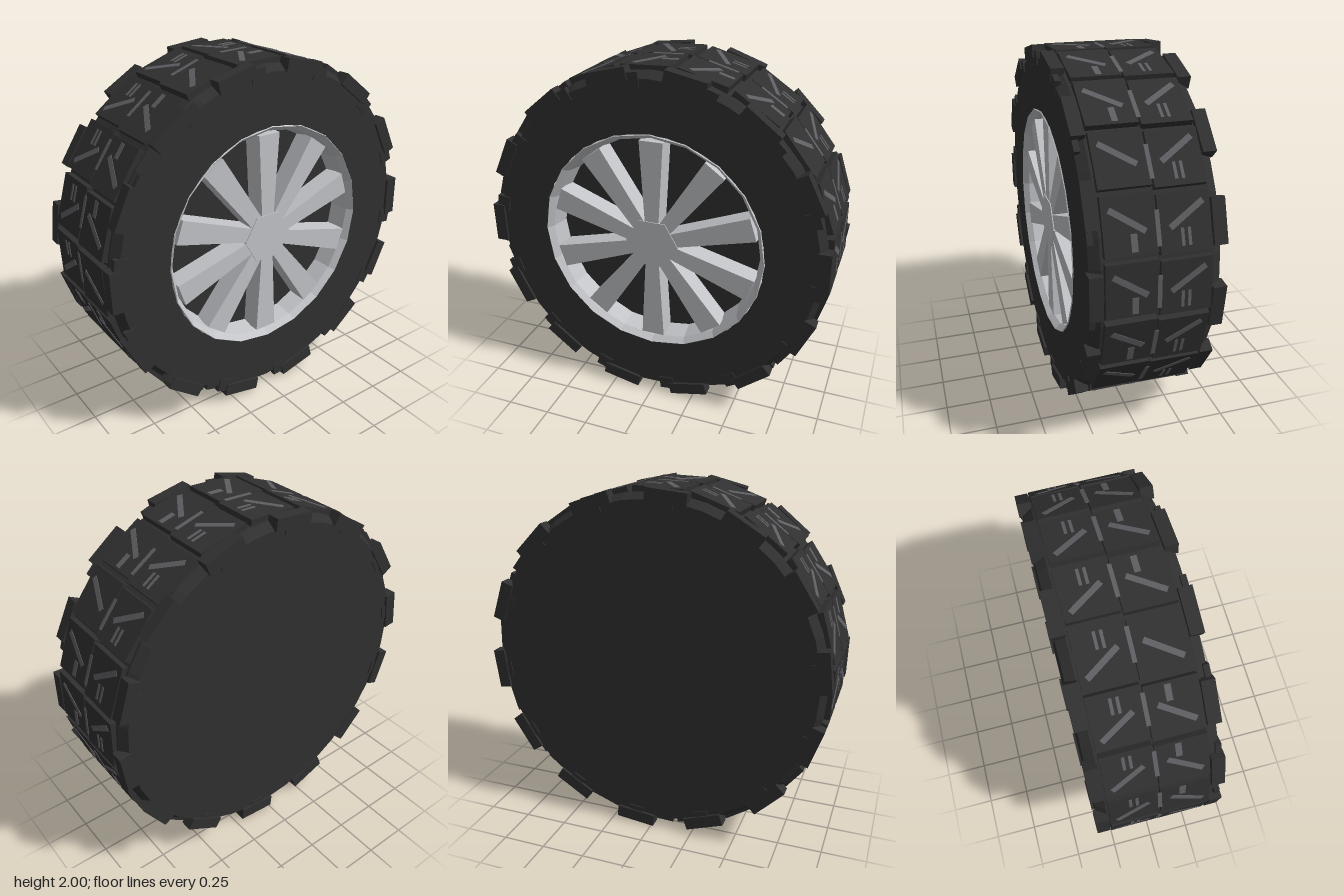
import * as THREE from 'three';

export function createModel() {
  const mat = (name, color, side = THREE.FrontSide) => {
    const m = new THREE.MeshStandardMaterial({ color, side, flatShading: true });
    m.name = name;
    return m;
  };
  const rubber = mat('rubber', 0x303030);
  const alloy = mat('alloy', 0xc2c4c8);
  const sipe = mat('sipe grey', 0x5e5e62);

  const model = new THREE.Group();
  model.name = 'wheel';
  const wheel = new THREE.Group();
  wheel.name = 'wheelAssembly';
  wheel.position.y = 1;
  model.add(wheel);

  const add = (name, geometry, material, parent = wheel) => {
    const mesh = new THREE.Mesh(geometry, material);
    mesh.name = name;
    parent.add(mesh);
    return mesh;
  };
  // Revolve [radius, x] points around the x axis
  const revolve = (points, segments) =>
    new THREE.LatheGeometry(points.map(([r, x]) => new THREE.Vector2(r, x)), segments).rotateZ(-Math.PI / 2);
  // Group whose local y points outward; angle is measured from +z towards +y
  const radial = (name, degrees) => {
    const g = new THREE.Group();
    g.name = name;
    g.rotation.x = THREE.MathUtils.degToRad(90 - degrees);
    wheel.add(g);
    return g;
  };

  // Tyre carcass, closed on the inner side, open around the rim
  add('tyreCarcass', revolve([[0, -0.33], [0.935, -0.33], [0.967, -0.28], [0.967, 0.28], [0.935, 0.33], [0.645, 0.33]], 40), rubber);
  add('rimBackPlate', revolve([[0.61, 0.19], [0, 0.19]], 20), rubber);

  // Rim barrel with a narrow lip
  add('rimBarrel', revolve([[0.65, 0.328], [0.645, 0.335], [0.618, 0.3], [0.598, 0.19]], 20), alloy);

  // Hexagonal hub
  add('hub', new THREE.CylinderGeometry(0.155, 0.155, 0.125, 6).rotateZ(-Math.PI / 2).translate(0.2525, 0, 0), alloy);

  // Ten spokes widening outwards
  const spokeGeo = new THREE.BoxGeometry(0.12, 0.48, 1);
  const p = spokeGeo.attributes.position;
  for (let i = 0; i < p.count; i++) p.setZ(i, p.getZ(i) * (p.getY(i) > 0 ? 0.135 : 0.08));
  spokeGeo.translate(0.25, 0.36, 0);
  for (let i = 0; i < 10; i++) add('spoke', spokeGeo, alloy, radial('spokeArm', 18 + i * 36));

  // Tread blocks with inlaid sipe marks
  const blockGeo = new THREE.BoxGeometry(0.262, 0.05, 0.28);
  const slantGeo = new THREE.BoxGeometry(0.205, 0.006, 0.03);
  const barGeo = new THREE.BoxGeometry(0.032, 0.006, 0.085);
  const thinBarGeo = new THREE.BoxGeometry(0.016, 0.006, 0.085);
  const centreGeo = new THREE.BoxGeometry(0.022, 0.006, 0.17);
  for (let i = 0; i < 20; i++) {
    const g = radial('treadSegment', i * 18 - 2);
    for (const s of [-1, 1]) {
      add('treadBlock', blockGeo, rubber, g).position.set(s * 0.135, 0.964, s * 0.008);
      const slant = add('slantedSipe', slantGeo, sipe, g);
      slant.position.set(s * 0.145, 0.989, 0.03);
      slant.rotation.y = -s * Math.atan(0.12 / 0.18);
    }
    add('centreSipe', centreGeo, sipe, g).position.set(0, 0.989, -0.02);
    if (i % 4 !== 0) add('shortSipe', barGeo, sipe, g).position.set(0.12, 0.989, -0.075);
    for (const x of [-0.152, -0.118]) add('shortSipe', thinBarGeo, sipe, g).position.set(x, 0.989, -0.075);
  }

  // Shoulder lugs and the small stubs running down the sidewalls
  const lugGeo = new THREE.BoxGeometry(0.07, 0.07, 0.23);
  const stubGeo = new THREE.BoxGeometry(0.03, 0.075, 0.085);
  for (let i = 0; i < 14; i++) {
    for (const s of [-1, 1]) {
      const step = i * 360 / 14;
      add('shoulderLug', lugGeo, rubber, radial('shoulder', step + (s > 0 ? -1 : 7))).position.set(s * 0.31, 0.956, 0);
      add('sidewallStub', stubGeo, rubber, radial('sidewall', step + 7)).position.set(s * 0.322, 0.93, 0);
    }
  }
  return model;
}
